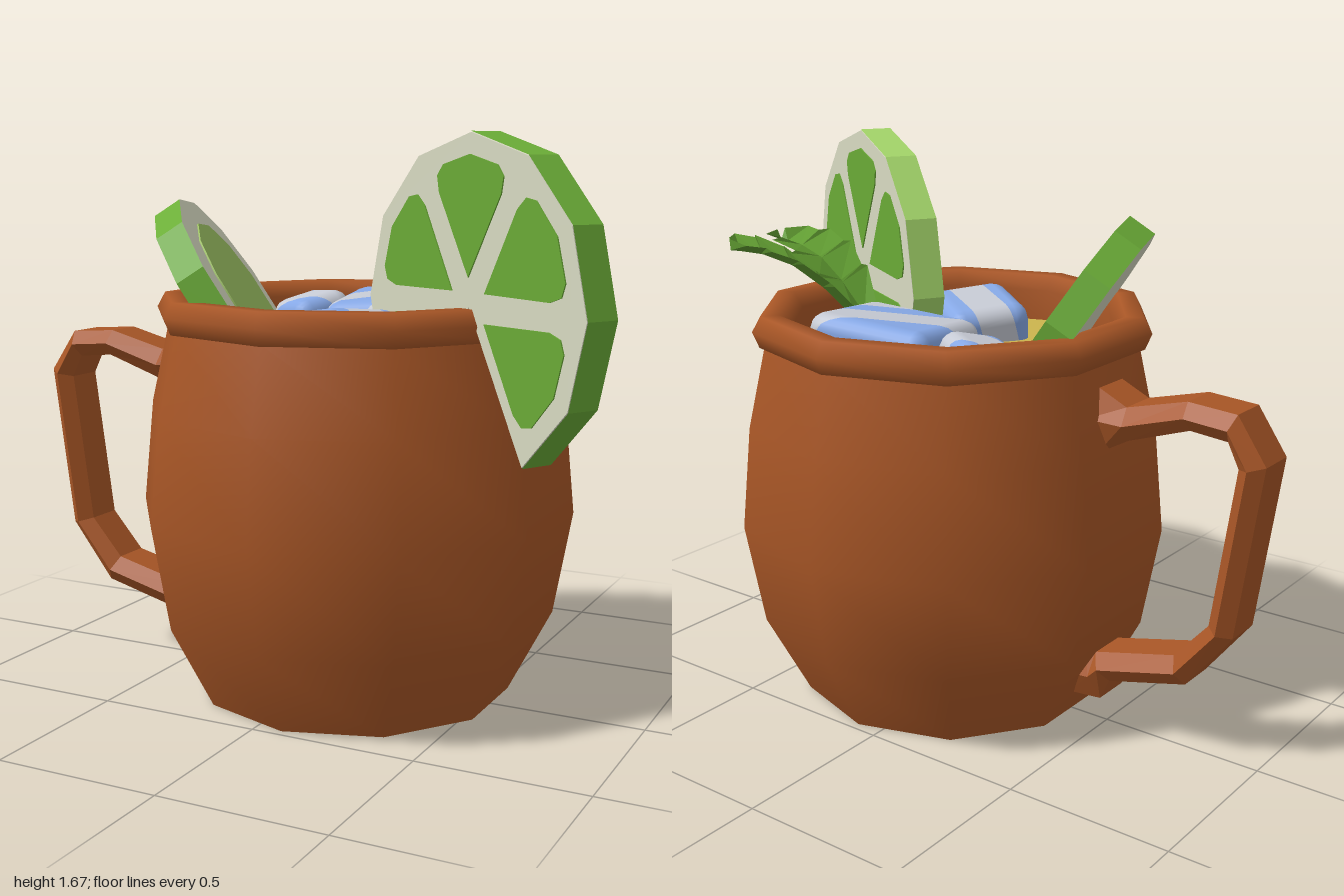
import * as THREE from 'three';
import { RoundedBoxGeometry } from 'three/addons/geometries/RoundedBoxGeometry.js';

const mat = (name, color, side = THREE.FrontSide) => {
  const m = new THREE.MeshStandardMaterial({ color, side });
  m.name = name;
  return m;
};
const rad = THREE.MathUtils.degToRad;

function faceted(geo) {
  const g = geo.index ? geo.toNonIndexed() : geo;
  g.computeVertexNormals();
  return g;
}

function fromPositions(pos) {
  const g = new THREE.BufferGeometry();
  g.setAttribute('position', new THREE.Float32BufferAttribute(pos, 3));
  return g;
}

// Keep the part of a triangle list [{p, n} * 3] where axis . p > limit
function clip(tris, axis, limit) {
  const out = [];
  for (const tri of tris) {
    const poly = [];
    tri.forEach((a, i) => {
      const b = tri[(i + 1) % 3];
      const da = a.p.dot(axis) - limit, db = b.p.dot(axis) - limit;
      if (da >= 0) poly.push(a);
      if (da * db < 0) {
        const t = da / (da - db);
        poly.push({ p: a.p.clone().lerp(b.p, t), n: a.n.clone().lerp(b.n, t).normalize() });
      }
    });
    for (let i = 1; i + 1 < poly.length; i++) out.push([poly[0], poly[i], poly[i + 1]]);
  }
  return out;
}

function trianglesOf(geo) {
  const g = geo.index ? geo.toNonIndexed() : geo;
  const P = g.attributes.position, N = g.attributes.normal, tris = [];
  const v = (i) => ({ p: new THREE.Vector3().fromBufferAttribute(P, i), n: new THREE.Vector3().fromBufferAttribute(N, i) });
  for (let i = 0; i < P.count; i += 3) tris.push([v(i), v(i + 1), v(i + 2)]);
  return tris;
}

function fromTriangles(tris) {
  const g = fromPositions(tris.flat().flatMap((v) => v.p.toArray()));
  g.setAttribute('normal', new THREE.Float32BufferAttribute(tris.flat().flatMap((v) => v.n.toArray()), 3));
  return g;
}

export function createModel() {
  const model = new THREE.Group();
  model.name = 'copperMugDrink';
  const copper = mat('copper', 0xa85626);
  const drinkMat = mat('goldenDrink', 0xccb44e);
  const peel = mat('limePeel', 0x6cae38);
  const lightPeel = mat('lightPeel', 0xa4d66a);
  const pith = mat('limePith', 0xd8dac2);
  const pulp = mat('palePulp', 0x9cc062);
  const flesh = mat('limeFlesh', 0x6aaa36);
  const mint = mat('mintLeaf', 0x629e32, THREE.DoubleSide);
  const iceBlue = mat('iceBlue', 0x86a8e6);
  const iceWhite = mat('iceWhite', 0xc6cad4);

  const add = (name, geo, material, parent = model) => {
    const m = new THREE.Mesh(geo, material);
    m.name = name;
    parent.add(m);
    return m;
  };

  // Mug: ten-sided turned parts
  const mug = new THREE.Group();
  mug.name = 'mug';
  mug.position.x = 0.08;
  model.add(mug);
  const turned = (name, pts, material) =>
    add(name, new THREE.LatheGeometry(pts.map((p) => new THREE.Vector2(...p)), 10), material, mug);
  turned('mugBase', [[0, 0], [0.475, 0]], copper);
  turned('mugBody', [[0.475, 0], [0.605, 0.25], [0.66, 0.56], [0.63, 0.87], [0.575, 1.115]], copper);
  turned('mugRim', [[0.57, 1.11], [0.59, 1.112], [0.61, 1.16], [0.585, 1.205], [0.53, 1.205], [0.5, 1.16], [0.51, 1.02]], copper);
  turned('drink', [[0.512, 1.06], [0, 1.06]], drinkMat);

  // Handle: six-sided loops between outer and inner outline points
  const stations = [
    [-0.44, 1.07, -0.48, 0.86], [-0.57, 1.01, -0.58, 0.915], [-0.76, 1.06, -0.77, 0.98],
    [-0.91, 1.05, -0.885, 0.97], [-1, 0.92, -0.92, 0.9], [-0.93, 0.41, -0.855, 0.43],
    [-0.79, 0.23, -0.75, 0.31], [-0.54, 0.165, -0.49, 0.245], [-0.51, 0.1, -0.46, 0.25], [-0.4, 0.09, -0.42, 0.25],
  ];
  const rings = stations.map(([ox, oy, ix, iy]) => {
    const mx = (ox + ix) / 2, my = (oy + iy) / 2;
    return [[ox, oy, 0.06], [mx, my, 0.095], [ix, iy, 0.06], [ix, iy, -0.06], [mx, my, -0.095], [ox, oy, -0.06]];
  });
  const hp = [];
  for (let s = 0; s + 1 < rings.length; s++) {
    for (let j = 0; j < 6; j++) {
      const k = (j + 1) % 6;
      const a = rings[s][j], b = rings[s][k], c = rings[s + 1][k], d = rings[s + 1][j];
      hp.push(...a, ...d, ...c, ...a, ...c, ...b);
    }
  }
  add('handle', faceted(fromPositions(hp)), copper);

  // Lime wheel on the rim, with one sector cut out
  const wheel = new THREE.Group();
  wheel.name = 'limeWheel';
  wheel.position.set(0.575, 1.21, 0.23);
  wheel.rotation.y = rad(-30);
  model.add(wheel);
  const R = 0.465, T = 0.1;
  const polar = (r, deg) => new THREE.Vector2(r * Math.cos(rad(deg)), r * Math.sin(rad(deg)));
  const slab = (pts, depth) =>
    new THREE.ExtrudeGeometry(new THREE.Shape(pts), { depth, bevelEnabled: false }).translate(0, 0, -depth / 2);
  const outline = [new THREE.Vector2(0, 0)];
  for (let a = -60; a <= 240; a += 30) outline.push(polar(R - 0.003, a));
  add('wheelPith', slab(outline, T), pith, wheel);
  const rimStrip = (from) => faceted(
    new THREE.CylinderGeometry(R, R, T, 5, 1, true, rad(from + 90), rad(150)).rotateX(Math.PI / 2));
  add('wheelPeel', rimStrip(-60), peel, wheel);
  add('wheelPeelLight', rimStrip(90), lightPeel, wheel);
  for (const mid of [-30, 30, 90, 150, 210]) {
    const pts = [[0.08, 0], [0.33, -23.5], [0.375, -22], [0.395, -17], [0.405, 0], [0.395, 17], [0.375, 22], [0.33, 23.5]];
    add('wheelSegment', slab(pts.map(([r, a]) => polar(r, mid + a)), T + 0.008), flesh, wheel);
  }

  // Second lime slice, leaning on the inside wall
  const slice = new THREE.Group();
  slice.name = 'limeSlice';
  slice.position.set(-0.265, 1.18, 0.135);
  slice.quaternion.setFromUnitVectors(new THREE.Vector3(0, 1, 0), new THREE.Vector3(0.78, 0.55, -0.3).normalize());
  model.add(slice);
  add('slicePeelAndPith', faceted(new THREE.CylinderGeometry(0.34, 0.34, 0.09, 12)), [peel, pith, pith], slice);
  // faceting drops no groups: side = peel, both caps = pith
  add('slicePulp', new THREE.CylinderGeometry(0.25, 0.25, 0.008, 12).translate(0, 0.046, 0), pulp, slice);

  // Ice cubes, split into blue and white bands
  const ice = (size, pos, rot, axis, cuts) => {
    const cube = new THREE.Group();
    cube.name = 'iceCube';
    cube.position.set(...pos);
    cube.rotation.set(...rot);
    model.add(cube);
    const n = new THREE.Vector3(...axis).normalize(), back = n.clone().negate();
    const all = trianglesOf(new RoundedBoxGeometry(...size, 2, 0.05));
    const limits = [-9, ...cuts, 9];
    for (let i = 0; i + 1 < limits.length; i++) {
      const part = clip(clip(all, n, limits[i]), back, -limits[i + 1]);
      add(i % 2 ? 'iceWhiteBand' : 'iceBlueBand', fromTriangles(part), i % 2 ? iceWhite : iceBlue, cube);
    }
  };
  ice([0.4, 0.3, 0.36], [0.14, 1.05, -0.22], [0.08, 0.14, 0.06], [0.5, 0.15, 0.86], [-0.06, 0.06, 0.14]);
  ice([0.28, 0.26, 0.26], [0.16, 1.05, 0.235], [-0.1, -0.6, 0.08], [0.05, 0.2, 1], [-0.03, 0.08]);
  ice([0.2, 0.24, 0.2], [-0.17, 1.06, -0.23], [0.25, -0.5, 0.2], [-0.5, 0.3, -0.7], [-0.01, 0.1]);

  // Mint leaves: serrated, folded along the midrib
  const leaf = (base, tip, width) => {
    const A = new THREE.Vector3(...base), B = new THREE.Vector3(...tip);
    const side = new THREE.Vector3().subVectors(B, A).cross(new THREE.Vector3(0, 1, 0)).normalize();
    const half = [0.4, 0.85, 0.7, 1, 0.8, 0.95, 0.62, 0.7, 0.12];
    const along = [0, 0.25, 0.27, 0.5, 0.52, 0.74, 0.76, 0.92, 1];
    const rows = along.map((t, i) => {
      const c = A.clone().lerp(B, t);
      c.y += 0.06 * Math.sin(Math.PI * t);
      const edge = (s) => c.clone().addScaledVector(side, s * half[i] * width / 2).add(new THREE.Vector3(0, 0.035, 0));
      return [edge(-1), c, edge(1)].map((v) => v.toArray());
    });
    const pos = [];
    for (let i = 0; i + 1 < rows.length; i++) {
      for (let j = 0; j < 2; j++) {
        const a = rows[i][j], b = rows[i][j + 1], c = rows[i + 1][j + 1], d = rows[i + 1][j];
        pos.push(...a, ...b, ...c, ...a, ...c, ...d);
      }
    }
    add('mintLeaf', faceted(fromPositions(pos)), mint);
  };
  leaf([0.42, 1.12, -0.06], [0.64, 1.36, -0.37], 0.32);
  leaf([0.42, 1.13, -0.02], [0.77, 1.33, -0.02], 0.28);

  return model;
}
